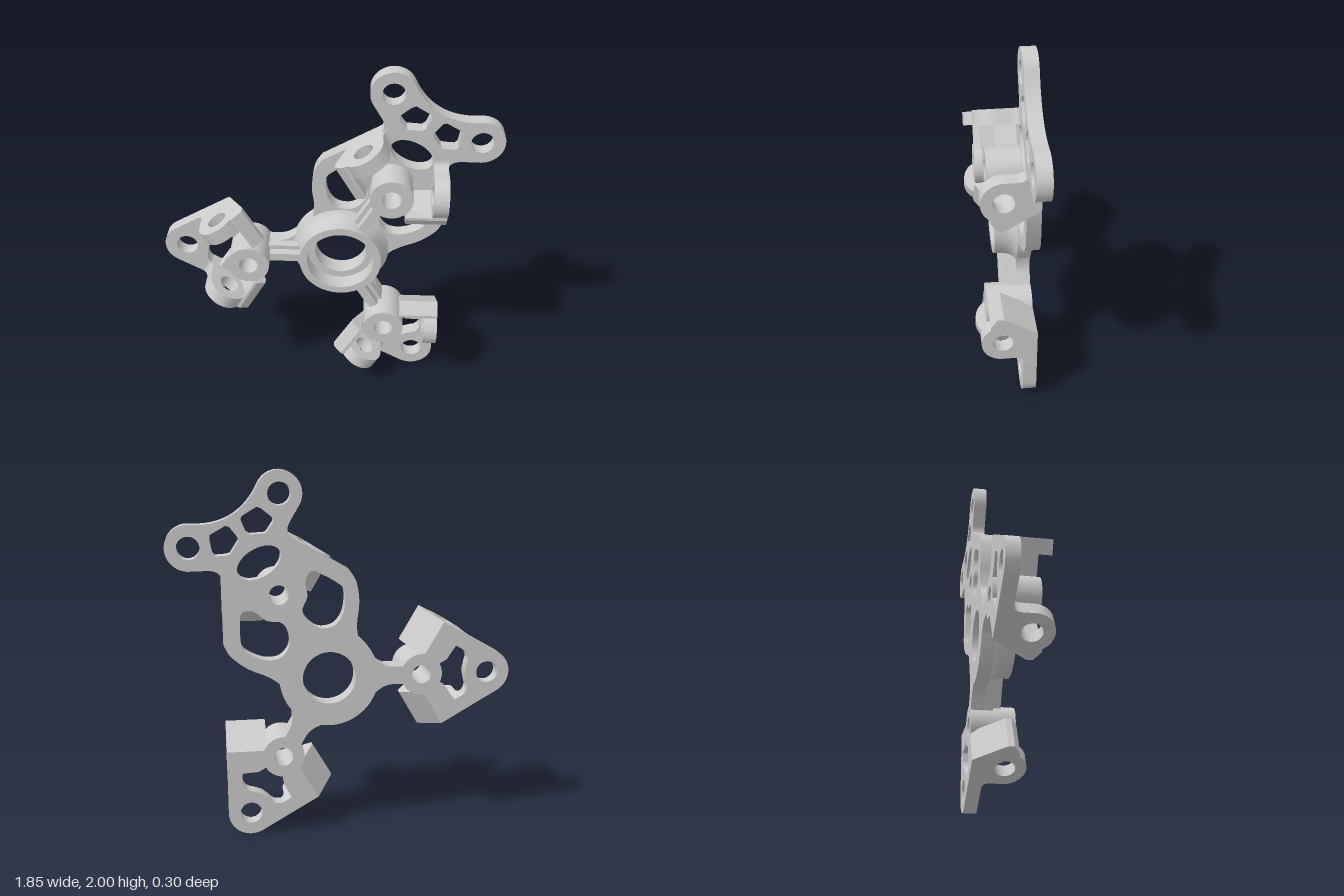
import * as THREE from 'three';
import { toCreasedNormals } from 'three/addons/utils/BufferGeometryUtils.js';

const material = new THREE.MeshStandardMaterial({ color: 0xcccccc });
const DEG = Math.PI / 180;
const V = (x, y) => new THREE.Vector2(x, y);
const vecs = (list) => list.map(([x, y]) => V(x, y));

// Helpers: every arm is drawn along +x from the hub centre, then turned into place
function mesh(name, geometry) {
  const m = new THREE.Mesh(toCreasedNormals(geometry, 0.5), material);
  m.name = name;
  return m;
}

// All loops are made counter-clockwise so every wall faces outward
const ccw = (pts) => (THREE.ShapeUtils.isClockWise(pts) ? [...pts].reverse() : pts);

function slab(name, points, holes, z0, z1) {
  const shape = new THREE.Shape(ccw(points));
  shape.holes = holes.map((h) => new THREE.Path(ccw(h)));
  const geo = new THREE.ExtrudeGeometry(shape, { depth: z1 - z0, bevelEnabled: false });
  return mesh(name, geo.translate(0, 0, z0));
}

function circle(x, y, r, n = 40) {
  return Array.from({ length: n }, (_, i) =>
    V(x + r * Math.cos(i / n * 2 * Math.PI), y + r * Math.sin(i / n * 2 * Math.PI)));
}

function smoothLoop(list) {
  const c = new THREE.CatmullRomCurve3(list.map(([x, y]) => new THREE.Vector3(x, y, 0)), true);
  return c.getPoints(list.length * 6).slice(0, -1).map((p) => V(p.x, p.y));
}

const flipY = (pts) => pts.map((p) => V(p.x, -p.y));

// Half an outline from axis to axis, completed by its mirror image
function symmetric(half) {
  return [...half, ...flipY(half).reverse()].filter(
    (p, i, a) => p.distanceTo(a[(i + 1) % a.length]) > 1e-5);
}

// Overhanging pivot bracket on one side (s = +1 or -1) of an arm
function bracket(s) {
  const g = new THREE.Group();
  g.name = 'pivotBracket';
  const basis = new THREE.Matrix4().makeBasis(
    new THREE.Vector3(0, 1, 0), new THREE.Vector3(0, 0, 1), new THREE.Vector3(1, 0, 0));
  const turn = new THREE.Matrix4().makeRotationZ(s * 60 * DEG).multiply(basis);
  const add = (name, pts, holes, n0, n1) => {
    const side = (list) => list.map((p) => V(s * p.x, p.y));
    const m = slab(name, side(pts), holes.map(side), n0, n1);
    m.geometry.applyMatrix4(turn);
    g.add(m);
  };
  const ct = -0.455, cz = 0.035;

  const lug = new THREE.Path();
  lug.moveTo(-0.4, -0.15);
  lug.lineTo(-0.29, 0.03);
  lug.lineTo(-0.29, 0.065);
  lug.lineTo(-0.34, 0.1);
  lug.absarc(ct, cz, 0.115, 34 * DEG, Math.PI, false);
  lug.lineTo(-0.57, -0.03);
  lug.quadraticCurveTo(-0.57, -0.075, -0.61, -0.075);
  lug.lineTo(-0.61, -0.15);
  add('pivotLug', lug.getPoints(20), [circle(ct, cz, 0.055, 32)], 0.485, 0.565);

  add('slantedWall', vecs([[-0.4, -0.15], [-0.29, 0.03], [-0.29, 0.065], [-0.34, 0.1],
    [-0.355, 0.1], [-0.355, 0.03], [-0.46, -0.15]]), [], 0.345, 0.485);
  return g;
}

// Spoke, rib, screw boss and two pivot brackets shared by all three arms
function arm(angle, bossX) {
  const g = new THREE.Group();
  g.name = 'arm';
  g.rotation.z = angle * DEG;

  const root = new THREE.Path();
  root.moveTo(0.19, 0);
  root.lineTo(0.19, 0.17);
  root.quadraticCurveTo(0.27, 0.05, 0.35, 0.05);
  root.lineTo(0.42, 0.05);
  root.lineTo(0.42, 0);
  g.add(slab('spokeRoot', symmetric(root.getPoints(12)), [], -0.15, -0.075));

  const bar = (name, halfWidth, top) => slab(name, vecs([[0.21, -halfWidth],
    [0.43, -halfWidth], [0.43, halfWidth], [0.21, halfWidth]]), [], -0.14, top);
  g.add(bar('spoke', 0.048, -0.025), bar('rib', 0.024, 0.02));
  g.add(slab('screwBoss', circle(bossX, 0, 0.115), [circle(bossX, 0, 0.052, 32)], -0.15, 0.1));
  g.add(bracket(1), bracket(-1));
  return g;
}

// Rounded triangular foot plate at the end of the two short arms
function footPlate() {
  const edge = new THREE.Path();
  edge.moveTo(0.57, 0);
  edge.lineTo(0.57, 0.085);
  edge.lineTo(0.519, 0.099);
  edge.lineTo(0.629, 0.289);
  edge.absarc(0.88, 0, 0.125, 60 * DEG, 0, true);

  const opening = new THREE.Path();
  opening.moveTo(0.625, 0);
  opening.absarc(0.51, 0, 0.115, 0, 30 * DEG, false);
  opening.lineTo(0.65, 0.08);
  opening.lineTo(0.695, 0.15);
  opening.quadraticCurveTo(0.71, 0.16, 0.735, 0.14);
  opening.quadraticCurveTo(0.785, 0.1, 0.765, 0.055);
  opening.lineTo(0.755, 0);
  return slab('footPlate', symmetric(edge.getPoints(16)),
    [circle(0.88, 0, 0.06, 32), symmetric(opening.getPoints(10))], -0.15, -0.075);
}

// Long plate with two side struts, a neck and a pair of mounting ears
function headPlate(bossX) {
  const edge = new THREE.Path();
  edge.moveTo(0.175, 0);
  edge.lineTo(0.17, 0.1);
  edge.lineTo(0.08, 0.245);
  edge.splineThru(vecs([[0.13, 0.252], [0.193, 0.285], [0.26, 0.335], [0.32, 0.367],
    [0.39, 0.389], [0.459, 0.387]]));
  edge.lineTo(0.759, 0.214);
  edge.quadraticCurveTo(0.802, 0.189, 0.84, 0.254);
  edge.absarc(0.987, 0.272, 0.12, 152 * DEG, -35 * DEG, true);
  edge.quadraticCurveTo(1.017, 0.1015, 1.017, 0);

  // Openings on one side of the axis, repeated on the other
  const side = [
    circle(0.987, 0.272, 0.06, 32),
    smoothLoop([[0.38, 0.312], [0.274, 0.245], [0.239, 0.167], [0.27, 0.092],
      [0.343, 0.06], [0.4, 0.065], [0.45, 0.125], [0.53, 0.16], [0.555, 0.215],
      [0.5, 0.258], [0.43, 0.298]]),
    vecs([[0.968, 0.155], [0.988, 0.14], [0.987, 0.05], [0.975, 0.035], [0.905, 0.025],
      [0.885, 0.035], [0.85, 0.105], [0.855, 0.125], [0.88, 0.175], [0.9, 0.18]]),
  ];
  const oval = circle(0, 0, 1).map((p) => V(0.735 + 0.075 * p.x, 0.125 * p.y));
  return slab('headPlate', symmetric(edge.getPoints(20)),
    [oval, circle(bossX, 0, 0.052, 32), ...side, ...side.map(flipY)], -0.15, -0.075);
}

export function createModel() {
  const model = new THREE.Group();
  model.name = 'threeArmBracket';
  const body = new THREE.Group();
  body.name = 'body';
  body.position.set(0.075, 0.89, 0);
  model.add(body);

  // Central bearing hub with a flared base and a stepped bore
  const profile = vecs([[0.145, -0.15], [0.27, -0.15], [0.27, -0.075], [0.25, -0.06],
    [0.235, -0.035], [0.228, 0], [0.228, 0.045], [0.186, 0.045], [0.186, -0.05],
    [0.145, -0.05], [0.145, -0.15]]);
  body.add(mesh('hub', new THREE.LatheGeometry(profile, 64).rotateX(Math.PI / 2)));

  // Two arms end in a foot plate, the third in the head plate
  for (const angle of [180, -60]) {
    const foot = arm(angle, 0.51);
    foot.add(footPlate());
    body.add(foot);
  }
  const head = arm(60, 0.535);
  head.add(headPlate(0.535));
  body.add(head);
  return model;
}
